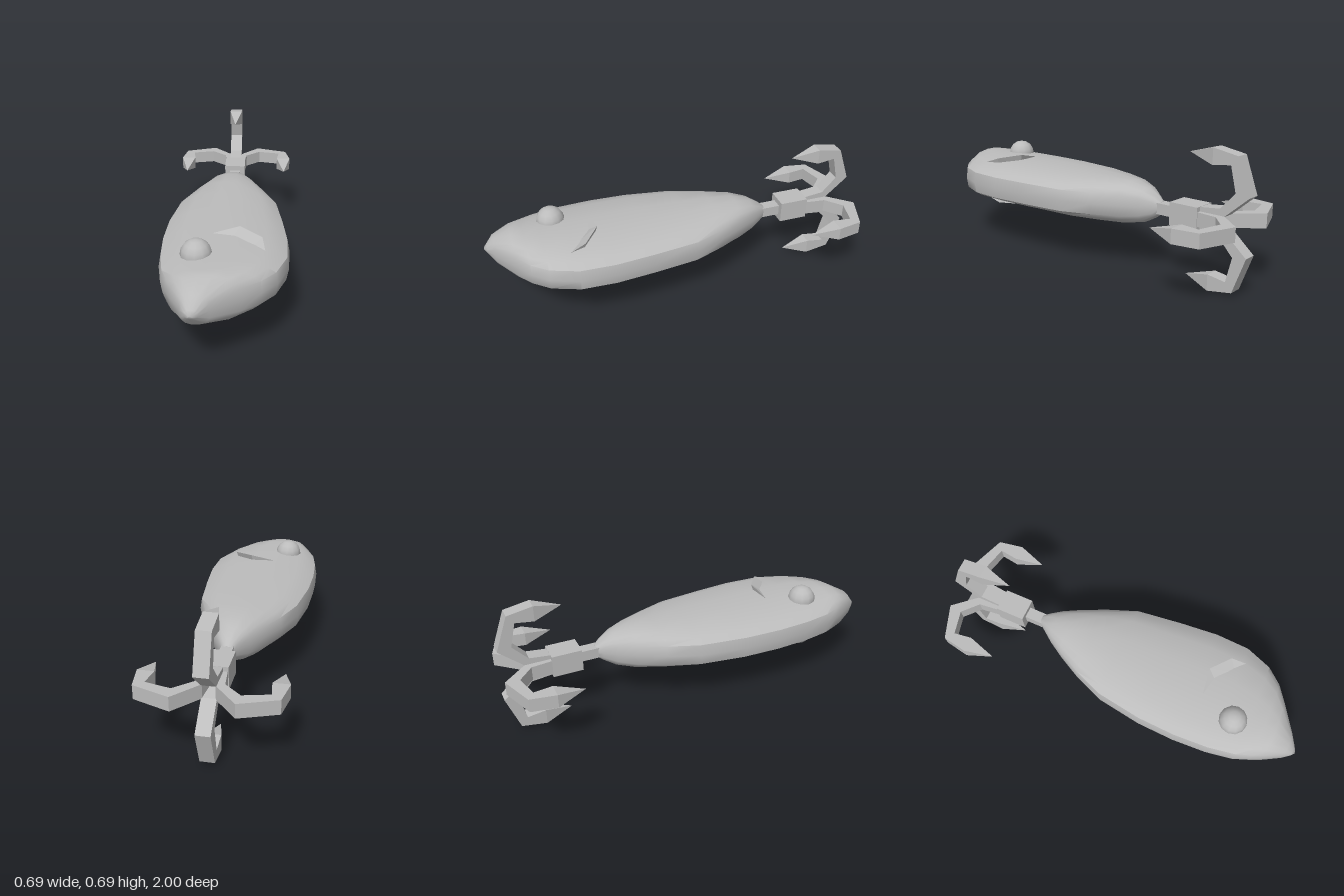
import * as THREE from 'three';
import { toCreasedNormals } from 'three/addons/utils/BufferGeometryUtils.js';

const MID = 0.343; // height of the lure's long axis

// Skin a row of rings (arrays of [x, y, z]), close both ends, face outwards
function loft(rings, crease) {
  const n = rings[0].length, tris = [];
  for (let r = 0; r < rings.length - 1; r++) {
    for (let i = 0; i < n; i++) {
      const j = (i + 1) % n, a = rings[r], b = rings[r + 1];
      tris.push([a[i], a[j], b[i]], [a[j], b[j], b[i]]);
    }
  }
  [rings[0], rings[rings.length - 1]].forEach((ring, end) => {
    const c = [0, 1, 2].map(k => ring.reduce((s, p) => s + p[k], 0) / n);
    for (let i = 0; i < n; i++) {
      const j = (i + 1) % n;
      tris.push(end ? [ring[i], ring[j], c] : [ring[j], ring[i], c]);
    }
  });
  const v = tris.map(t => t.map(p => new THREE.Vector3(...p)));
  const solid = v.filter(([a, b, c]) =>
    b.clone().sub(a).cross(c.clone().sub(a)).length() > 1e-7);
  const volume = solid.reduce((s, [a, b, c]) => s + a.dot(b.clone().cross(c)), 0);
  if (volume < 0) solid.forEach(t => t.reverse());
  const geo = new THREE.BufferGeometry().setFromPoints(solid.flat());
  geo.computeVertexNormals();
  return crease ? toCreasedNormals(geo, crease) : geo;
}

export function createModel() {
  const group = new THREE.Group();
  const grey = new THREE.MeshStandardMaterial({ color: 0xbcbcbc });
  grey.name = 'plain grey';

  const add = (name, geo, x = 0, y = 0, z = 0) => {
    const mesh = new THREE.Mesh(geo, grey);
    mesh.name = name;
    mesh.position.set(x, y, z);
    group.add(mesh);
    return mesh;
  };

  // Body: slices of [z, left x, right x, half height], tail to nose
  const slices = [
    [-0.51, -0.025, 0.025, 0.03], [-0.48, -0.045, 0.045, 0.055],
    [-0.42, -0.09, 0.08, 0.088], [-0.33, -0.145, 0.125, 0.109],
    [-0.2, -0.215, 0.187, 0.112], [-0.04, -0.28, 0.25, 0.113],
    [0.2, -0.317, 0.28, 0.114], [0.4, -0.325, 0.298, 0.114],
    [0.58, -0.315, 0.29, 0.114], [0.72, -0.29, 0.235, 0.114],
    [0.8, -0.258, 0.165, 0.114], [0.86, -0.23, 0.08, 0.112],
    [0.95, -0.18, -0.05, 0.07], [0.985, -0.155, -0.1, 0.022],
    [1, -0.14, -0.125, 0.004],
  ];
  const quarter = [[1, 0], [0.965, 0.5], [0.83, 0.7], [0.64, 0.88], [0.2, 1]];
  const flip = (sx, sy, list) => list.map(([x, y]) => [x * sx, y * sy]);
  const back = [...quarter].reverse();
  const section = [
    ...quarter, ...flip(-1, 1, back), ...flip(-1, -1, quarter.slice(1)),
    ...flip(1, -1, back.slice(0, -1)),
  ];
  add('body', loft(slices.map(([z, x0, x1, h]) => section.map(([u, w]) =>
    [(x0 + x1) / 2 + u * (x1 - x0) / 2, MID + w * h, z])), 0.8));

  // Eyes and gill fins on both faces
  for (const s of [1, -1]) {
    const side = s > 0 ? 'upper' : 'lower';
    add(side + 'Eye', new THREE.SphereGeometry(0.074, 12, 8), -0.133, MID + s * 0.103, 0.645);
    const finRings = [
      [[-0.11, 0.105, 0.46], [-0.11, 0.105, 0.46], [-0.11, 0.105, 0.46]],
      [[0.06, 0.145, 0.437], [0.05, 0.095, 0.45], [0.02, 0.1, 0.495]],
      [[0.165, 0.129, 0.52], [0.15, 0.08, 0.53], [0.11, 0.095, 0.565]],
      [[0.185, 0.085, 0.64], [0.185, 0.085, 0.64], [0.185, 0.085, 0.64]],
    ];
    add(side + 'GillFin', loft(finRings.map(r => r.map(([x, y, z]) => [x, MID + s * y, z]))));
  }

  // Tail link and hook block
  add('tailLink', new THREE.BoxGeometry(0.06, 0.056, 0.13), 0, MID, -0.54);
  add('hookBlock', new THREE.BoxGeometry(0.12, 0.115, 0.155), 0, MID, -0.673);

  // Four hooks: stations of inner and outer [radius, z], ending in a point
  const stations = [
    [[0.055, -0.74], [0, -0.74]],
    [[0.068, -0.855], [0.03, -0.875]],
    [[0.14, -0.93], [0.14, -1]].map((p, i) => (i ? p : [0.15, -0.93])),
    [[0.275, -0.9], [0.32, -0.935]],
    [[0.262, -0.805], [0.343, -0.805]],
    [[0.302, -0.66], [0.302, -0.66]],
  ];
  const hook = loft(stations.map(([a, b], i) => {
    const w = i === stations.length - 1 ? 0 : 0.035;
    return [[-w, a[0], a[1]], [w, a[0], a[1]], [w, b[0], b[1]], [-w, b[0], b[1]]];
  }));
  ['topHook', 'rightHook', 'bottomHook', 'leftHook'].forEach((name, i) => {
    add(name, hook, 0, MID, 0).rotation.z = i * Math.PI / 2;
  });

  return group;
}
